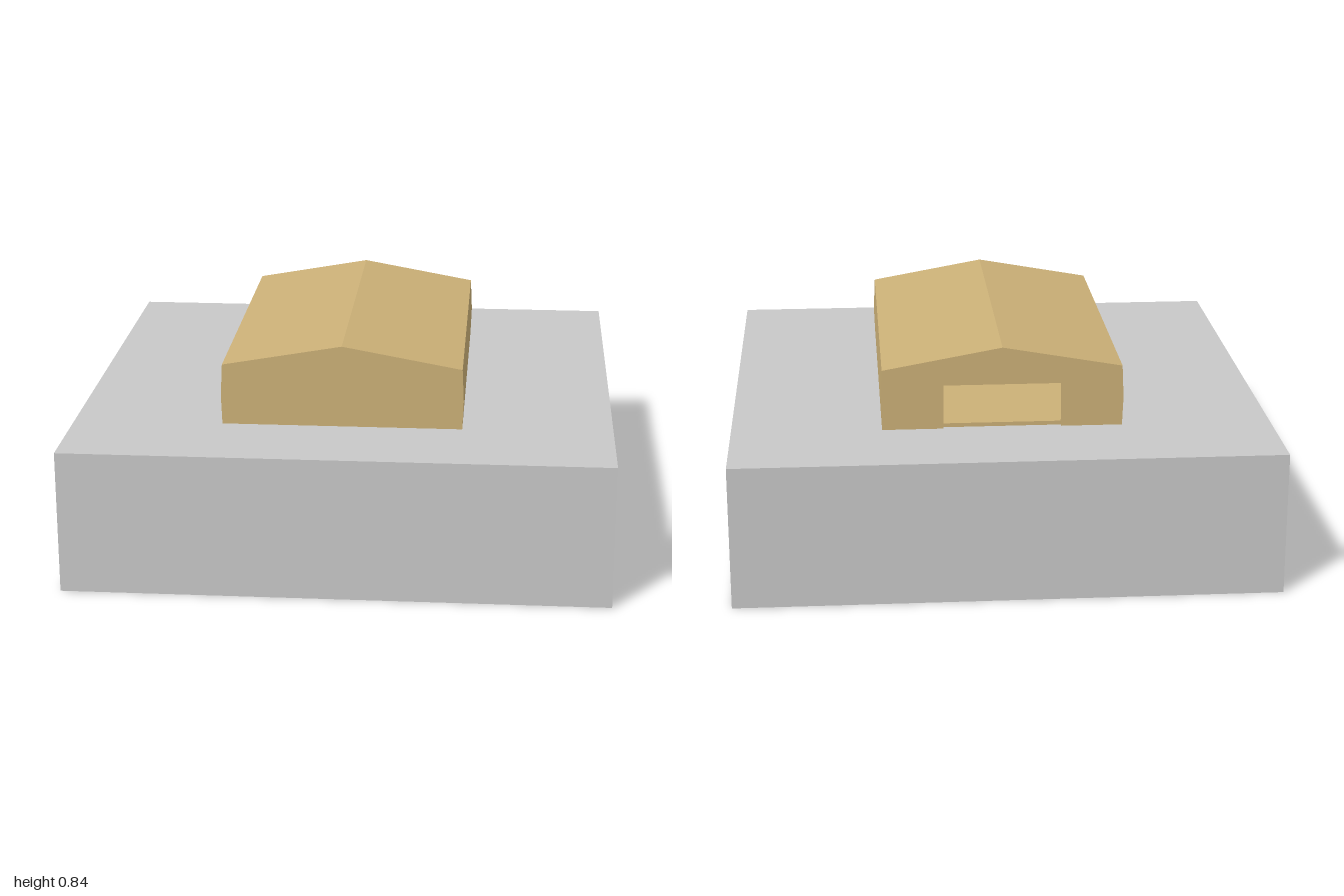
import * as THREE from 'three';

const BASE_H = 0.533;   // height of the ground block
const HALF_LEN = 0.63;  // half length of the building along z
const WALL = 0.015;

// Closed gabled cross-section with slightly bowed walls, shrunk by an inset
function gablePoints(inset) {
  const bottom = BASE_H + inset;
  const right = [[0.445, bottom], [0.449, 0.64], [0.443, 0.762]];
  const eave = right.map(([x, y], i) => new THREE.Vector2(x - inset, i === 2 ? y - inset : y));
  const left = eave.map((p) => new THREE.Vector2(-p.x, p.y)).reverse();
  return [...eave, new THREE.Vector2(0, 0.841 - inset), ...left];
}

function extrude(shape, depth, z) {
  const geometry = new THREE.ExtrudeGeometry(shape, { depth, bevelEnabled: false });
  return geometry.translate(0, 0, z);
}

export function createModel() {
  const concrete = new THREE.MeshStandardMaterial({ color: 0xc8c8c8 });
  concrete.name = 'grey ground';
  const tan = new THREE.MeshStandardMaterial({ color: 0xcbb077 });
  tan.name = 'tan walls';

  const model = new THREE.Group();
  model.name = 'shedOnBlock';
  const add = (name, geometry, material) => {
    const mesh = new THREE.Mesh(geometry, material);
    mesh.name = name;
    model.add(mesh);
  };

  // Square ground block
  add('groundBlock', new THREE.BoxGeometry(2, BASE_H, 2).translate(0, BASE_H / 2, 0), concrete);

  // Hollow tube of floor, side walls and roof
  const shell = new THREE.Shape(gablePoints(0));
  shell.holes.push(new THREE.Path(gablePoints(WALL)));
  add('sideWallsAndRoof', extrude(shell, 2 * (HALF_LEN - WALL), -HALF_LEN + WALL), tan);

  // Closed front gable
  add('frontWall', extrude(new THREE.Shape(gablePoints(0)), WALL, HALF_LEN - WALL), tan);

  // Back gable with a wide doorway cut up from the ground
  const doorHalf = 0.218;
  const doorTop = 0.7;
  const doorway = [[-doorHalf, BASE_H], [-doorHalf, doorTop], [doorHalf, doorTop], [doorHalf, BASE_H]]
    .map(([x, y]) => new THREE.Vector2(x, y));
  const backWall = new THREE.Shape([...gablePoints(0), ...doorway]);
  add('backWall', extrude(backWall, WALL, -HALF_LEN), tan);

  return model;
}
